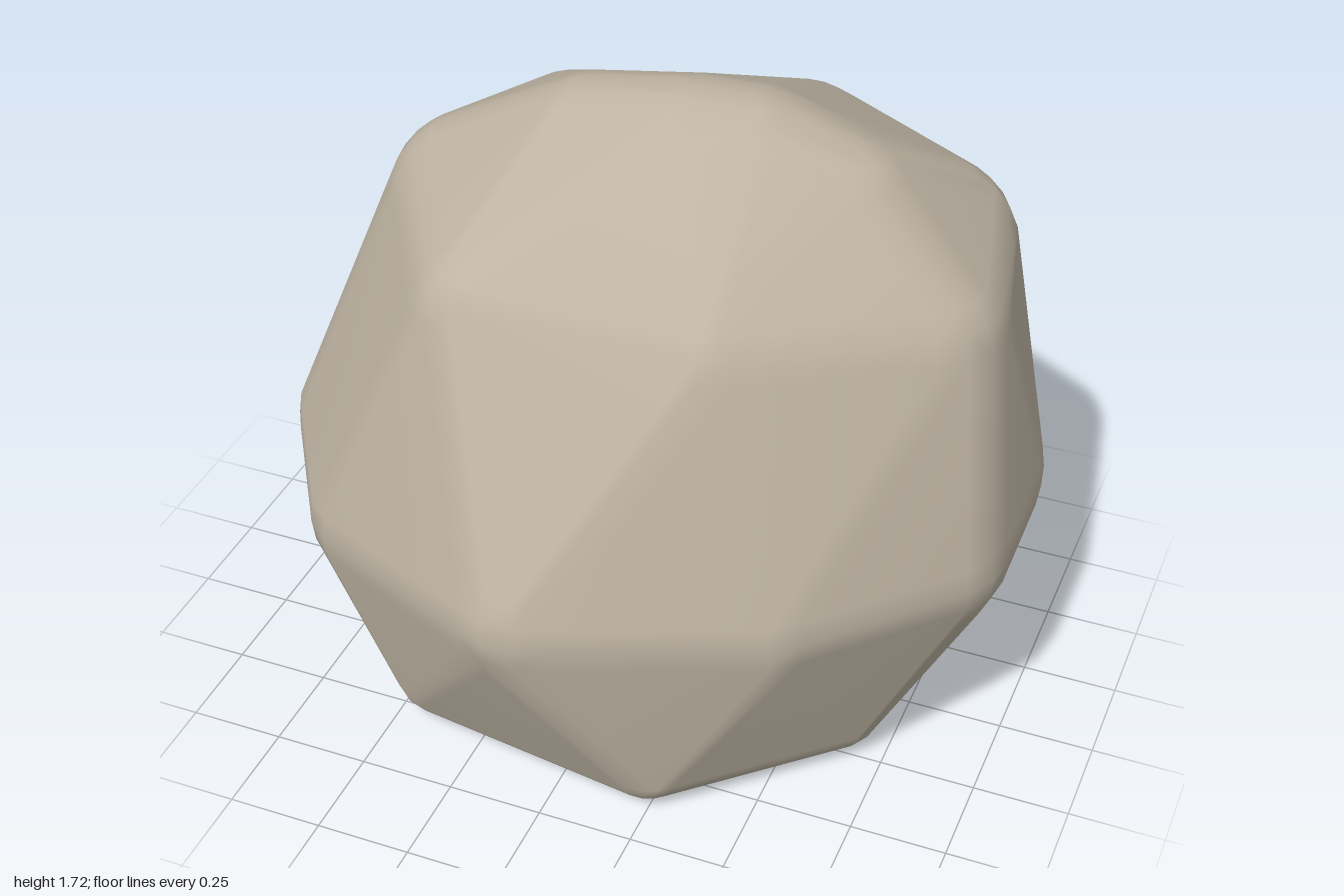
import * as THREE from 'three';
import { ConvexGeometry } from 'three/addons/geometries/ConvexGeometry.js';
import { mergeVertices } from 'three/addons/utils/BufferGeometryUtils.js';

// Corners of the boulder (x, y, z), each rounded by a ball of the given radius
const corners = [
  // base ring
  { radius: 0.13, points: [
    [-0.71, 0.13, 0.05], [-0.4, 0.13, 0.46], [0.22, 0.13, 0.55], [0.6, 0.13, 0.2],
    [0.58, 0.13, -0.28], [0.25, 0.13, -0.59], [-0.33, 0.13, -0.57], [-0.55, 0.13, -0.4]] },
  // widest ring
  { radius: 0.24, points: [
    [-0.76, 0.56, 0.02], [-0.56, 0.54, 0.34], [-0.06, 0.61, 0.61], [0.44, 0.62, 0.42],
    [0.76, 0.64, 0.11], [0.76, 0.66, -0.2], [0.7, 0.58, -0.31], [0.38, 0.7, -0.57],
    [-0.12, 0.72, -0.61], [-0.62, 0.62, -0.39]] },
  // shoulders
  { radius: 0.24, points: [
    [-0.27, 1.2, 0.31], [0.28, 1.2, 0.3], [0.69, 1.17, 0.0], [0.62, 1.24, -0.29],
    [0.2, 1.22, -0.56], [-0.38, 1.2, -0.42], [-0.5, 1.24, -0.08]] },
  // crown ridge
  { radius: 0.24, points: [
    [-0.16, 1.43, -0.05], [0.1, 1.48, -0.04], [0.25, 1.48, -0.05], [0.46, 1.4, -0.06]] },
];

function roundedHull(groups) {
  const cloud = [];
  for (const { radius, points } of groups) {
    const ball = mergeVertices(new THREE.SphereGeometry(radius, 18, 12).deleteAttribute('uv').deleteAttribute('normal'));
    const pos = ball.attributes.position;
    for (const p of points) {
      for (let i = 0; i < pos.count; i++) {
        cloud.push(new THREE.Vector3().fromBufferAttribute(pos, i).add(new THREE.Vector3(...p)));
      }
    }
  }
  // Shared vertices give smooth normals across the worn edges
  const hull = mergeVertices(new ConvexGeometry(cloud).deleteAttribute('normal'), 1e-4);
  hull.computeVertexNormals();
  return hull;
}

export function createModel() {
  const group = new THREE.Group();
  group.name = 'rock';

  const geometry = roundedHull(corners);
  geometry.computeBoundingBox();
  const box = geometry.boundingBox;
  const centre = box.getCenter(new THREE.Vector3());
  geometry.translate(-centre.x, -box.min.y, -centre.z);

  const boulder = new THREE.Mesh(geometry, new THREE.MeshStandardMaterial({ color: 0xbdb3a2 }));
  boulder.name = 'boulder';
  group.add(boulder);
  return group;
}
